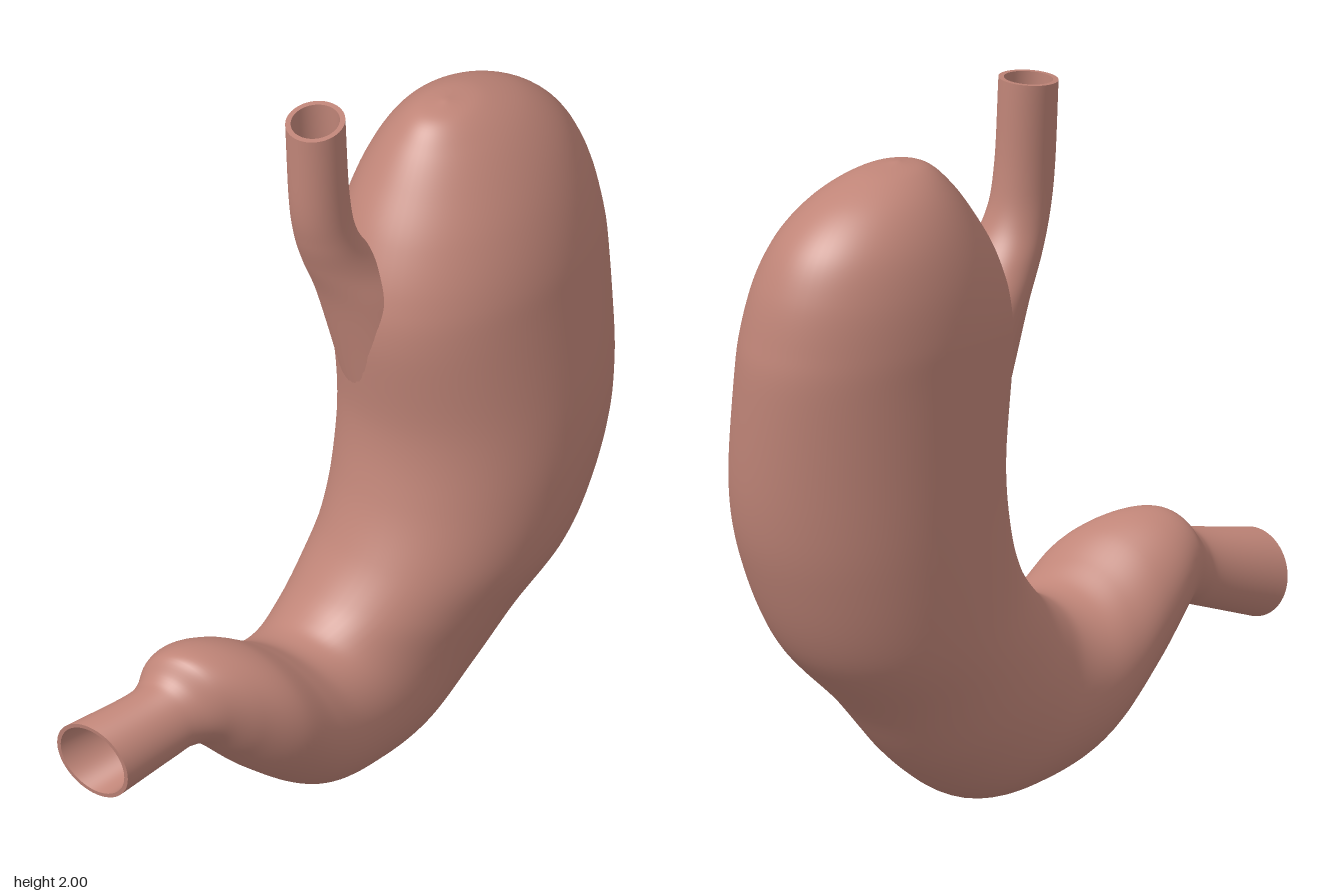
import * as THREE from 'three';
import { mergeVertices } from 'three/addons/utils/BufferGeometryUtils.js';

// Cross-section: inner edge x, y, outer edge x, y, centre z, half depth
const BODY = [
  [0.04, 1.29, 0.852, 1.31, 0.01, 0.305],
  [0.06, 1.02, 0.825, 0.98, 0.033, 0.32],
  [0.03, 0.82, 0.775, 0.76, 0.037, 0.32],
  [-0.03, 0.66, 0.675, 0.53, 0.025, 0.305],
  [-0.1, 0.55, 0.51, 0.345, -0.01, 0.275],
  [-0.16, 0.495, 0.355, 0.155, -0.04, 0.25],
  [-0.21, 0.475, 0.17, 0.025, -0.055, 0.235],
  [-0.27, 0.482, -0.04, 0.002, -0.065, 0.227],
  [-0.34, 0.525, -0.23, 0.037, -0.075, 0.225],
  [-0.43, 0.585, -0.4, 0.165, -0.09, 0.215],
  [-0.52, 0.616, -0.51, 0.278, -0.12, 0.18],
  [-0.6, 0.612, -0.57, 0.335, -0.145, 0.14],
  [-0.645, 0.56, -0.625, 0.345, -0.165, 0.108],
  [-0.7, 0.535, -0.68, 0.325, -0.185, 0.1],
  [-0.86, 0.5, -0.83, 0.265, -0.255, 0.113],
];
const GULLET = [
  [-0.085, 1.98, 0.075, 2.0, -0.155, 0.077],
  [-0.083, 1.75, 0.08, 1.75, -0.145, 0.078],
  [-0.065, 1.63, 0.105, 1.61, -0.138, 0.085],
  [-0.035, 1.53, 0.18, 1.5, -0.125, 0.105],
  [0.0, 1.42, 0.3, 1.37, -0.095, 0.14],
  [0.033, 1.27, 0.39, 1.22, -0.065, 0.165],
  [0.07, 1.08, 0.44, 1.04, -0.03, 0.18],
];

// Shrink a cross-section about its own centre
function shrink([ax, ay, bx, by, zc, zr], k) {
  const cx = (ax + bx) / 2, cy = (ay + by) / 2;
  return [cx + (ax - cx) * k, cy + (ay - cy) * k, cx + (bx - cx) * k, cy + (by - cy) * k, zc, zr * k];
}

// Rounded dome above a cross-section, listed from the pole down
function dome(base, height, steps) {
  return Array.from({ length: steps }, (_, i) => {
    const angle = (Math.PI / 2) * (1 - i / steps), rise = Math.sin(angle);
    const [ax, ay, bx, by, zc, zr] = shrink(base, Math.cos(angle));
    const dx = 0.1 * rise ** 2 - 0.136 * rise ** 6, dy = height * rise;
    return [ax + dx, ay + dy, bx + dx, by + dy, zc - 0.05 * rise, zr];
  });
}

// Smoothly interpolate between cross-sections
function refine(rows, steps) {
  const out = [];
  const last = rows.length - 1;
  for (let i = 0; i < last; i++) {
    const p1 = rows[i], p2 = rows[i + 1];
    const p0 = rows[i - 1] || p1.map((v, k) => 2 * v - p2[k]);
    const p3 = rows[i + 2] || p2.map((v, k) => 2 * v - p1[k]);
    for (let s = 0; s < steps; s++) {
      const t = s / steps;
      out.push(p1.map((v, k) => 0.5 * (2 * v + (p2[k] - p0[k]) * t
        + (2 * p0[k] - 5 * v + 4 * p2[k] - p3[k]) * t * t
        + (3 * v - p0[k] - 3 * p2[k] + p3[k]) * t * t * t)));
    }
  }
  out.push(rows[last]);
  return out;
}

// Skin elliptical cross-sections into a smooth surface.
// skew pushes the inner edge back and the outer edge forward on the upper part.
function loft(rows, skew = 0, sides = 64) {
  const pos = [], index = [];
  rows.forEach(([ax, ay, bx, by, zc, zr], i) => {
    const cx = (ax + bx) / 2, cy = (ay + by) / 2;
    const lean = skew * zr * THREE.MathUtils.smoothstep(cy, 0.4, 1.1);
    for (let j = 0; j < sides; j++) {
      const a = (j / sides) * Math.PI * 2, c = Math.cos(a), s = Math.sin(a);
      pos.push(cx + ((bx - ax) / 2) * c, cy + ((by - ay) / 2) * c, zc + zr * s + lean * c);
      if (i === rows.length - 1) continue;
      const k = (j + 1) % sides, n = i * sides, m = n + sides;
      index.push(n + j, n + k, m + k, n + j, m + k, m + j);
    }
  });
  const geo = new THREE.BufferGeometry();
  geo.setAttribute('position', new THREE.Float32BufferAttribute(pos, 3));
  geo.setIndex(index);
  const merged = mergeVertices(geo, 1e-5);
  merged.computeVertexNormals();
  return merged;
}

export function createModel() {
  const group = new THREE.Group();
  const flesh = new THREE.MeshStandardMaterial({ color: 0xc08578 });
  const add = (name, rows, skew) => {
    const mesh = new THREE.Mesh(loft(rows, skew), flesh);
    mesh.name = name;
    group.add(mesh);
  };

  // Outer walls
  add('stomachBody', refine([...dome(BODY[0], 0.562, 6), ...BODY], 8), 0.1);
  add('gullet', refine(GULLET, 8));

  // Open gullet end: flat rim and hollow lining, closed deep inside
  const top = GULLET.slice(0, 3).map((r) => shrink(r, 0.82));
  add('gulletRim', [top[0], GULLET[0]]);
  add('gulletLining', [shrink(top[2], 0), ...top.slice().reverse()]);

  // Open outlet end
  const end = BODY.slice(-3).map((r) => shrink(r, 0.9));
  add('outletRim', [BODY[BODY.length - 1], end[2]]);
  add('outletLining', [end[2], end[1], end[0], shrink(end[0], 0)]);

  return group;
}
